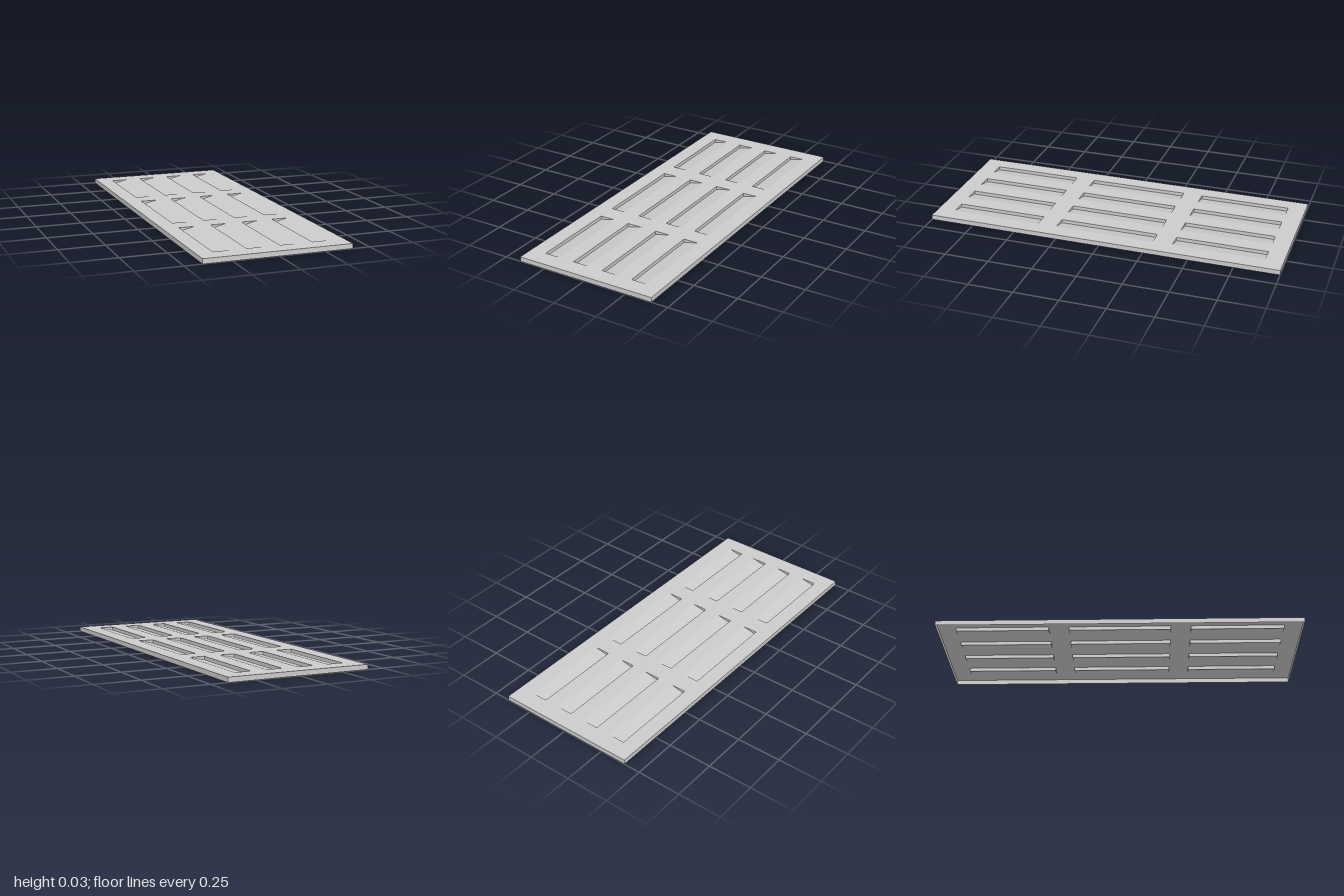
import * as THREE from 'three';

const W = 0.81, L = 2, H = 0.027;         // panel width, length, height
const LOUVER_W = 0.09, DEPTH = 0.02;      // pressed louver width and depth
const COLUMNS = [-0.315, -0.135, 0.045, 0.225];   // steep edge of each louver
const ROWS = [[-0.9, -0.39], [-0.28, 0.28], [0.39, 0.9]];

const material = new THREE.MeshStandardMaterial({
  color: 0xcccccc, side: THREE.DoubleSide, flatShading: true,
});

function add(parent, geometry, name) {
  const mesh = new THREE.Mesh(geometry, material);
  mesh.name = name;
  parent.add(mesh);
  return mesh;
}

// Wedge-shaped recess: steep wall at x = 0, ramp rising to x = LOUVER_W, closed ends
function louverGeometry(length) {
  const h = length / 2;
  const points = [
    0, 0, -h, 0, -DEPTH, -h, LOUVER_W, 0, -h,
    0, 0, h, 0, -DEPTH, h, LOUVER_W, 0, h,
  ];
  const faces = [
    0, 3, 4, 0, 4, 1,     // wall
    1, 4, 5, 1, 5, 2,     // ramp
    0, 1, 2, 3, 5, 4,     // ends
  ];
  const indexed = new THREE.BufferGeometry();
  indexed.setAttribute('position', new THREE.Float32BufferAttribute(points, 3));
  indexed.setIndex(faces);
  const geometry = indexed.toNonIndexed();
  geometry.computeVertexNormals();
  return geometry;
}

export function createModel() {
  const model = new THREE.Group();
  model.name = 'louveredPanel';

  // Top sheet with an opening for every louver
  const sheet = new THREE.Shape([
    new THREE.Vector2(-W / 2, -L / 2), new THREE.Vector2(W / 2, -L / 2),
    new THREE.Vector2(W / 2, L / 2), new THREE.Vector2(-W / 2, L / 2),
  ]);
  const louvers = new THREE.Group();
  louvers.name = 'louvers';
  for (const [z0, z1] of ROWS) {
    for (const x of COLUMNS) {
      sheet.holes.push(new THREE.Path([
        new THREE.Vector2(x, -z0), new THREE.Vector2(x + LOUVER_W, -z0),
        new THREE.Vector2(x + LOUVER_W, -z1), new THREE.Vector2(x, -z1),
      ]));
      add(louvers, louverGeometry(z1 - z0), 'louver').position.set(x, H, (z0 + z1) / 2);
    }
  }
  add(model, new THREE.ShapeGeometry(sheet).rotateX(-Math.PI / 2).translate(0, H, 0), 'topSheet');
  model.add(louvers);

  // Folded-down rim, open underneath
  for (let i = 0; i < 4; i++) {
    const along = i % 2 ? L : W, out = i % 2 ? W / 2 : L / 2;
    const flange = add(model, new THREE.PlaneGeometry(along, H).translate(0, H / 2, out), 'rimFlange');
    flange.rotation.y = i * Math.PI / 2;
  }
  return model;
}
